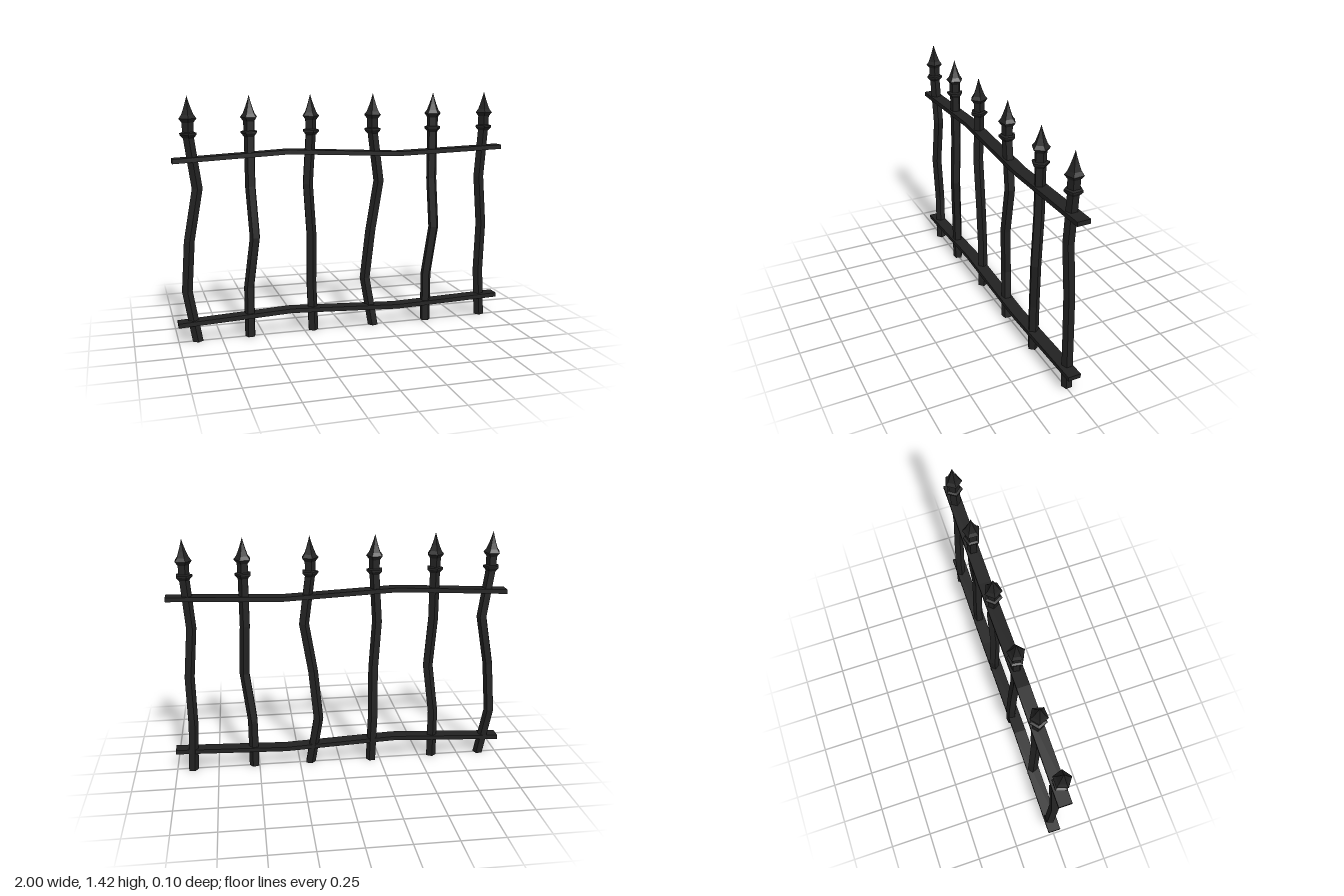
import * as THREE from 'three';

const iron = new THREE.MeshStandardMaterial({ color: 0x222222, flatShading: true, side: THREE.DoubleSide });
const SIDES = 5;
const STEP = 0.3; // height between bends of a post

// x of each post's centre line at y = 0, 0.3, 0.6, 0.9, 1.2
const postX = [
  [-0.89, -0.94, -0.92, -0.865, -0.905],
  [-0.58, -0.58, -0.543, -0.56, -0.56],
  [-0.195, -0.205, -0.205, -0.225, -0.205],
  [0.185, 0.137, 0.165, 0.215, 0.175],
  [0.53, 0.53, 0.568, 0.555, 0.555],
  [0.905, 0.89, 0.895, 0.868, 0.89],
];
// three repeating bends in depth
const postZ = [
  [0, -0.02, 0, 0, 0],
  [0, 0, 0.018, 0, 0],
  [-0.012, -0.015, -0.005, 0, 0],
];

// Crooked bar: a straight prism whose rings are shifted to the centre line
function bentPost(xs, zs, turn) {
  const geo = new THREE.CylinderGeometry(0.032, 0.032, 4 * STEP, SIDES, 4);
  geo.rotateY(turn).translate(0, 2 * STEP, 0);
  const p = geo.attributes.position;
  for (let i = 0; i < p.count; i++) {
    const ring = Math.round(p.getY(i) / STEP);
    p.setX(i, p.getX(i) + xs[ring]);
    p.setZ(i, p.getZ(i) + zs[ring]);
  }
  return new THREE.Mesh(geo, iron);
}

// Spear tip with two flared collars
const tipProfile = [
  [0.032, 1.185], [0.05, 1.205], [0.05, 1.215], [0.034, 1.22], [0.034, 1.272],
  [0.052, 1.295], [0.036, 1.315], [0.022, 1.35], [0.01, 1.385], [0, 1.42],
].map(([r, y]) => new THREE.Vector2(r, y));

// Flat rail that sags and rises between its four stations
function bentRail(heights) {
  const geo = new THREE.BoxGeometry(2, 0.026, 0.076, 3, 1, 1);
  const p = geo.attributes.position;
  for (let i = 0; i < p.count; i++) {
    const station = Math.round((p.getX(i) + 1) * 1.5);
    p.setY(i, p.getY(i) + heights[station]);
  }
  return new THREE.Mesh(geo, iron);
}

export function createModel() {
  const fence = new THREE.Group();
  fence.name = 'fence';

  // Posts with their tips
  postX.forEach((xs, i) => {
    const picket = new THREE.Group();
    picket.name = 'picket' + (i + 1);
    const turn = i * 0.7;
    const post = bentPost(xs, postZ[i % 3], turn);
    post.name = 'post';
    const tip = new THREE.Mesh(new THREE.LatheGeometry(tipProfile, SIDES, turn), iron);
    tip.name = 'spearTip';
    tip.position.x = xs[4];
    picket.add(post, tip);
    fence.add(picket);
  });

  // Rails
  const upper = bentRail([1.06, 1.093, 1.06, 1.082]);
  upper.name = 'upperRail';
  const lower = bentRail([0.11, 0.142, 0.11, 0.131]);
  lower.name = 'lowerRail';
  fence.add(upper, lower);

  return fence;
}
